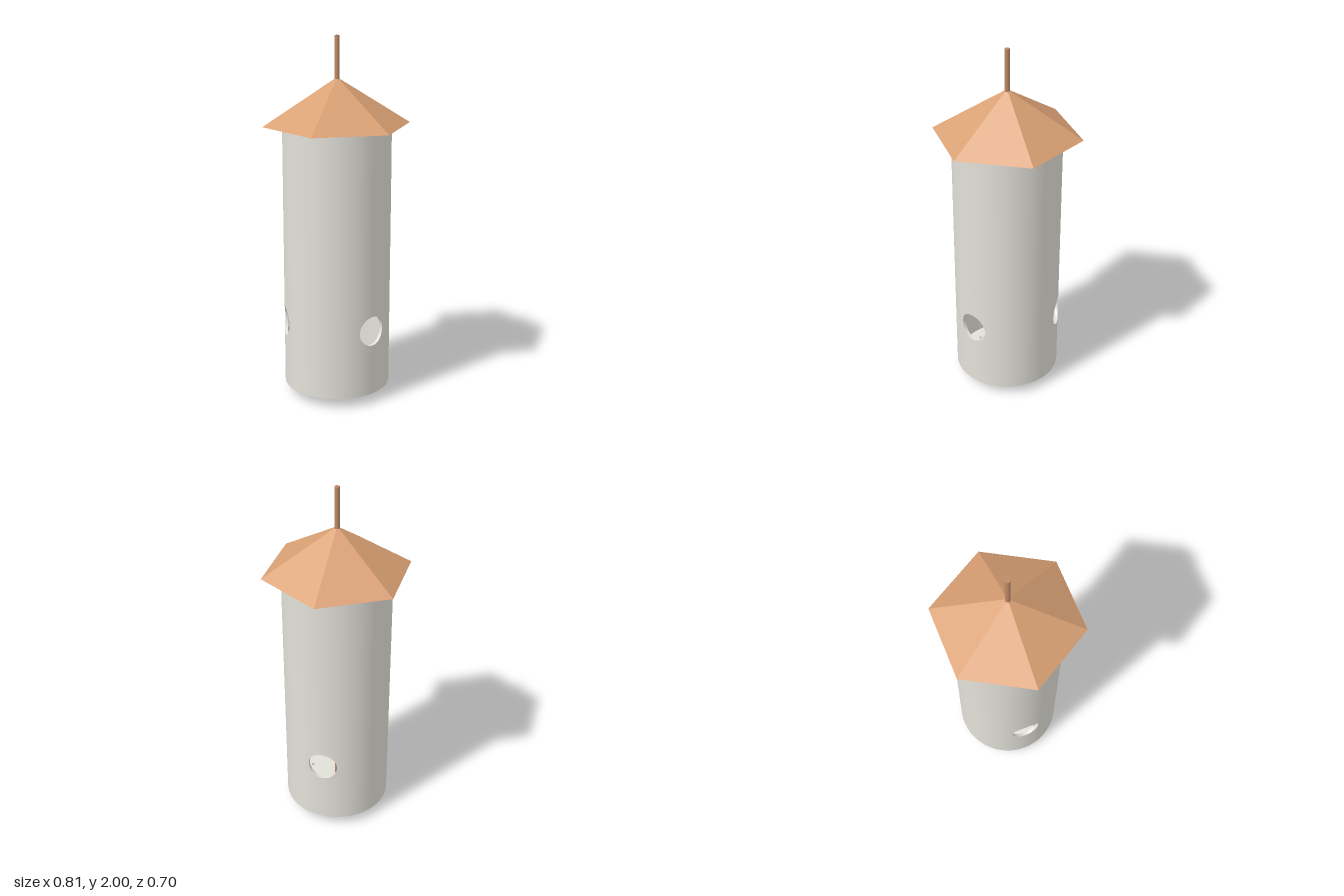
import * as THREE from 'three';

const R_OUT = 0.295, R_IN = 0.277;            // tube wall
const Y_LOW = 0.055, Y_EAVE = 1.525;          // tube ends
const HOLE_Y = 0.425, HOLE_R = 0.083;         // feeding ports
const SECTOR = Math.PI / 3;                   // half angle of one third of the tube

const mat = (color) => new THREE.MeshStandardMaterial({ color });

function add(parent, name, geometry, material, y = 0) {
  const mesh = new THREE.Mesh(geometry, material);
  mesh.name = name;
  mesh.position.y = y;
  parent.add(mesh);
  return mesh;
}

// Grid whose vertices are placed by place(u, v)
function patch(place, nu, nv) {
  const g = new THREE.PlaneGeometry(1, 1, nu, nv);
  const { position, uv } = g.attributes;
  for (let i = 0; i < position.count; i++) {
    position.setXYZ(i, ...place(uv.getX(i), uv.getY(i)));
  }
  g.computeVertexNormals();
  return g;
}

const onTube = (r, a, y) => [r * Math.cos(a), y, -r * Math.sin(a)];

// Port edge on a wall of radius r, as [angle, height]
const portEdge = (r, t) => [
  Math.asin((HOLE_R * Math.cos(t)) / r),
  HOLE_Y + HOLE_R * Math.sin(t),
];

// One third of a wall, spread from the port edge to the sector's border
function wallSector(r, facing) {
  const g = patch((u, v) => {
    const t = u * Math.PI * 2, c = Math.cos(t), s = Math.sin(t);
    const k = 1 / Math.max(Math.abs(c), Math.abs(s));
    const [a0, y0] = portEdge(r, t);
    const a1 = SECTOR * c * k;
    const y1 = HOLE_Y + (s > 0 ? Y_EAVE - HOLE_Y : HOLE_Y - Y_LOW) * s * k;
    const f = facing > 0 ? 1 - v : v;
    return onTube(r, a0 + (a1 - a0) * f, y0 + (y1 - y0) * f);
  }, 96, 20);
  // Exact radial normals keep the wall smooth
  const { position: p, normal: n } = g.attributes;
  for (let i = 0; i < p.count; i++) {
    n.setXYZ(i, (facing * p.getX(i)) / r, 0, (facing * p.getZ(i)) / r);
  }
  return g;
}

// Cut thickness of a port
function portRim() {
  return patch((u, v) => {
    const r = R_OUT + (R_IN - R_OUT) * v;
    return onTube(r, ...portEdge(r, u * Math.PI * 2));
  }, 96, 1);
}

export function createModel() {
  const model = new THREE.Group();
  model.name = 'birdFeeder';
  const tubeMat = mat(0xe2e0d8);
  const roofMat = mat(0xd9a074);
  const rodMat = mat(0xc08a66);
  const nutMat = mat(0x8a6a58);

  // Tube with three ports
  const tube = new THREE.Group();
  tube.name = 'tube';
  model.add(tube);
  const outer = wallSector(R_OUT, 1), inner = wallSector(R_IN, -1), rim = portRim();
  for (let i = 0; i < 3; i++) {
    const third = new THREE.Group();
    third.name = 'tubeThird';
    third.rotation.y = (i * Math.PI * 2) / 3;
    add(third, 'outerWall', outer, tubeMat);
    add(third, 'innerWall', inner, tubeMat);
    add(third, 'portRim', rim, tubeMat);
    tube.add(third);
  }

  // Floor with four drain holes
  const disc = new THREE.Shape().absarc(0, 0, R_OUT - 0.001, 0, Math.PI * 2);
  for (let i = 0; i < 4; i++) {
    const a = (i * Math.PI) / 2;
    disc.holes.push(new THREE.Path().absarc(0.21 * Math.cos(a), 0.21 * Math.sin(a), 0.01, 0, Math.PI * 2, true));
  }
  const floor = new THREE.ExtrudeGeometry(disc, { depth: 0.018, bevelEnabled: false, curveSegments: 36 });
  floor.rotateX(-Math.PI / 2);
  add(model, 'floor', floor, tubeMat, Y_LOW);

  // Six-sided roof, corners on the x axis
  const roof = new THREE.ConeGeometry(0.404, 0.255, 6).toNonIndexed();
  roof.rotateY(Math.PI / 6 + Math.PI / 3);
  roof.computeVertexNormals();
  add(model, 'roof', roof, roofMat, Y_EAVE + 0.1275);

  // Central rod, washer and nut
  add(model, 'rod', new THREE.CylinderGeometry(0.014, 0.014, 1.97, 24), rodMat, 1.015);
  add(model, 'washer', new THREE.CylinderGeometry(0.125, 0.125, 0.026, 48), nutMat, 0.043);
  add(model, 'nut', new THREE.CylinderGeometry(0.058, 0.058, 0.032, 24), nutMat, 0.016);

  return model;
}
